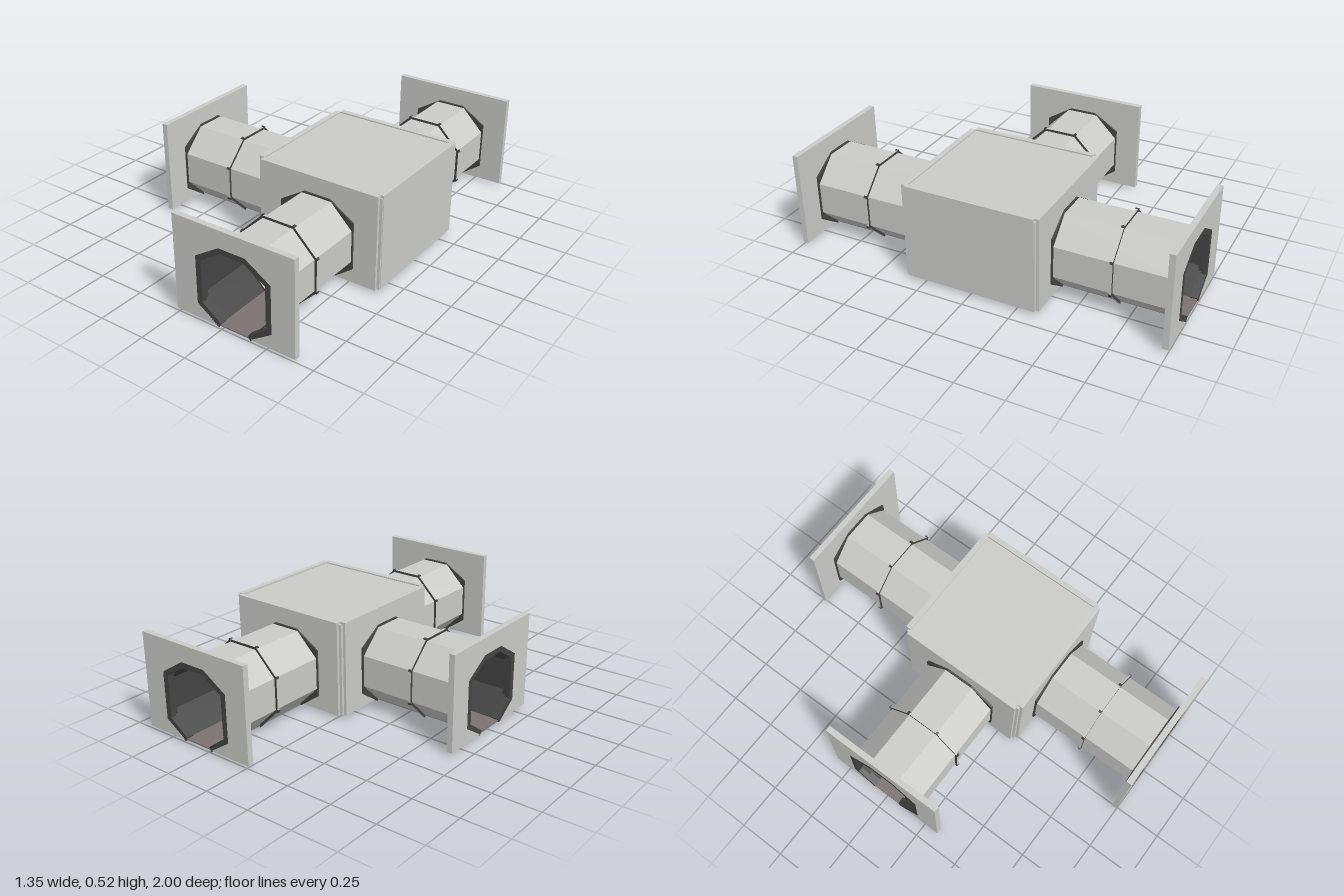
import * as THREE from 'three';

const CX = 0.322;            // centre of the hub on x
const AXIS_Y = 0.215;        // height of the tunnel axis
const BASE = 0.013, TOP = 0.515, HALF = 0.333;

const named = (name, color) => {
  const m = new THREE.MeshStandardMaterial({ color });
  m.name = name;
  return m;
};

export function createModel() {
  const light = named('light grey', 0xcbcbc9);
  const dark = named('dark grey', 0x444444);
  const floorTone = named('floor brown grey', 0x7b7371);

  const add = (parent, name, geo, mat) => {
    const m = new THREE.Mesh(geo, mat);
    m.name = name;
    parent.add(m);
    return m;
  };
  // Box given by its two corners
  const box = (parent, name, mat, a, b) => {
    const m = add(parent, name, new THREE.BoxGeometry(b[0] - a[0], b[1] - a[1], b[2] - a[2]), mat);
    m.position.set((a[0] + b[0]) / 2, (a[1] + b[1]) / 2, (a[2] + b[2]) / 2);
    return m;
  };
  const extrude = (pts, z0, z1) => {
    const shape = new THREE.Shape(pts.map(p => new THREE.Vector2(p[0], p[1])));
    return new THREE.ExtrudeGeometry(shape, { depth: z1 - z0, bevelEnabled: false }).translate(0, 0, z0);
  };

  // Door frame outlines, right half from top to bottom, then mirrored
  const mirror = half => [...half.map(([x, y]) => [-x, y]).reverse(), ...half];
  const outer = mirror([[0.0725, 0.425], [0.2075, 0.34], [0.2075, 0.09], [0.09, 0.005]]);
  const inner = mirror([[0.065, 0.397], [0.178, 0.325], [0.178, 0.103], [0.075, 0.028]]);
  const framePts = [...outer, ...inner.slice().reverse()];

  // Wall plate with a doorway open at the bottom
  const doorway = outer.map(([x, y]) => [x, Math.max(y, BASE)]);
  const wallPts = [[-HALF, BASE], ...doorway, [HALF, BASE], [HALF, TOP], [-HALF, TOP]];

  // Octagonal open shell along z with flat facets
  const shell = (apothem, z0, z1, inward) => {
    const r = apothem / Math.cos(Math.PI / 8);
    let g = new THREE.CylinderGeometry(r, r, z1 - z0, 8, 1, true);
    g.rotateY(Math.PI / 8).rotateX(Math.PI / 2).translate(0, AXIS_Y, (z0 + z1) / 2);
    if (inward) g.scale(-1, 1, 1);
    g = g.toNonIndexed();
    g.computeVertexNormals();
    return g;
  };

  // Eight octagon corners, leaving the bottom side open
  const corner = (apothem, k) => {
    const a = (-67.5 + 45 * k) * Math.PI / 180, r = apothem / Math.cos(Math.PI / 8);
    return [r * Math.cos(a), AXIS_Y + r * Math.sin(a)];
  };
  const ks = [0, 1, 2, 3, 4, 5, 6, 7];
  const ribPts = [...ks.map(k => corner(0.215, k)), ...ks.map(k => corner(0.186, 7 - k))];

  function makeArm(name) {
    const arm = new THREE.Group();
    arm.name = name;
    add(arm, 'hubWall', extrude(wallPts, 0.332, 0.362), light);
    add(arm, 'endPlate', extrude(wallPts, 0.97, 1), light);
    add(arm, 'tunnelOuter', shell(0.202, 0.345, 0.975), light);
    add(arm, 'tunnelLining', shell(0.196, 0.345, 0.975, true), dark);
    box(arm, 'tunnelFloor', floorTone, [-0.088, 0.0145, 0.33], [0.088, 0.021, 0.998]);
    // Door frames at both ends
    add(arm, 'hubDoorFrame', extrude(framePts, 0.325, 0.372), dark);
    add(arm, 'endDoorFrame', extrude(framePts, 0.96, 1), dark);
    // Middle rib: dark flanks, light rim, dark joints
    add(arm, 'rib', extrude(ribPts, 0.66, 0.673), [dark, light]);
    for (let k = 1; k < 7; k++) {
      const [x, y] = corner(0.212, k);
      const joint = add(arm, 'ribJoint', new THREE.BoxGeometry(0.012, 0.012, 0.016), dark);
      joint.position.set(x, y, 0.6665);
      joint.rotation.z = (-67.5 + 45 * k) * Math.PI / 180;
    }
    return arm;
  }

  const model = new THREE.Group();
  model.name = 'tunnelJunction';
  const body = new THREE.Group();
  body.position.x = CX;
  model.add(body);

  // Three arms: front, back and right-hand side
  [['frontArm', 0], ['backArm', Math.PI], ['sideArm', -Math.PI / 2]].forEach(([name, turn]) => {
    const arm = makeArm(name);
    arm.rotation.y = turn;
    body.add(arm);
  });

  // Hub: closed wall, roof, floor and corner posts
  const hub = new THREE.Group();
  hub.name = 'hub';
  body.add(hub);
  box(hub, 'closedWall', light, [0.322, BASE + 0.003, -0.34], [0.35, 0.518, 0.34]);
  box(hub, 'closedWallLining', dark, [0.316, 0.02, -0.33], [0.3225, 0.49, 0.33]);
  box(hub, 'roof', light, [-0.334, 0.494, -0.334], [0.324, 0.508, 0.334]);
  box(hub, 'ceiling', dark, [-0.33, 0.488, -0.33], [0.32, 0.4945, 0.33]);
  box(hub, 'base', light, [-0.335, BASE, -0.335], [0.335, 0.017, 0.335]);
  box(hub, 'hubFloor', floorTone, [-0.332, 0.0165, -0.332], [0.322, 0.021, 0.332]);
  for (const x of [-1, 1]) for (const z of [-1, 1]) {
    const post = box(hub, 'cornerPost', light, [-0.011, BASE + 0.002, -0.011], [0.011, 0.503, 0.011]);
    post.position.x = x * 0.336;
    post.position.z = z * 0.336;
  }
  return model;
}
